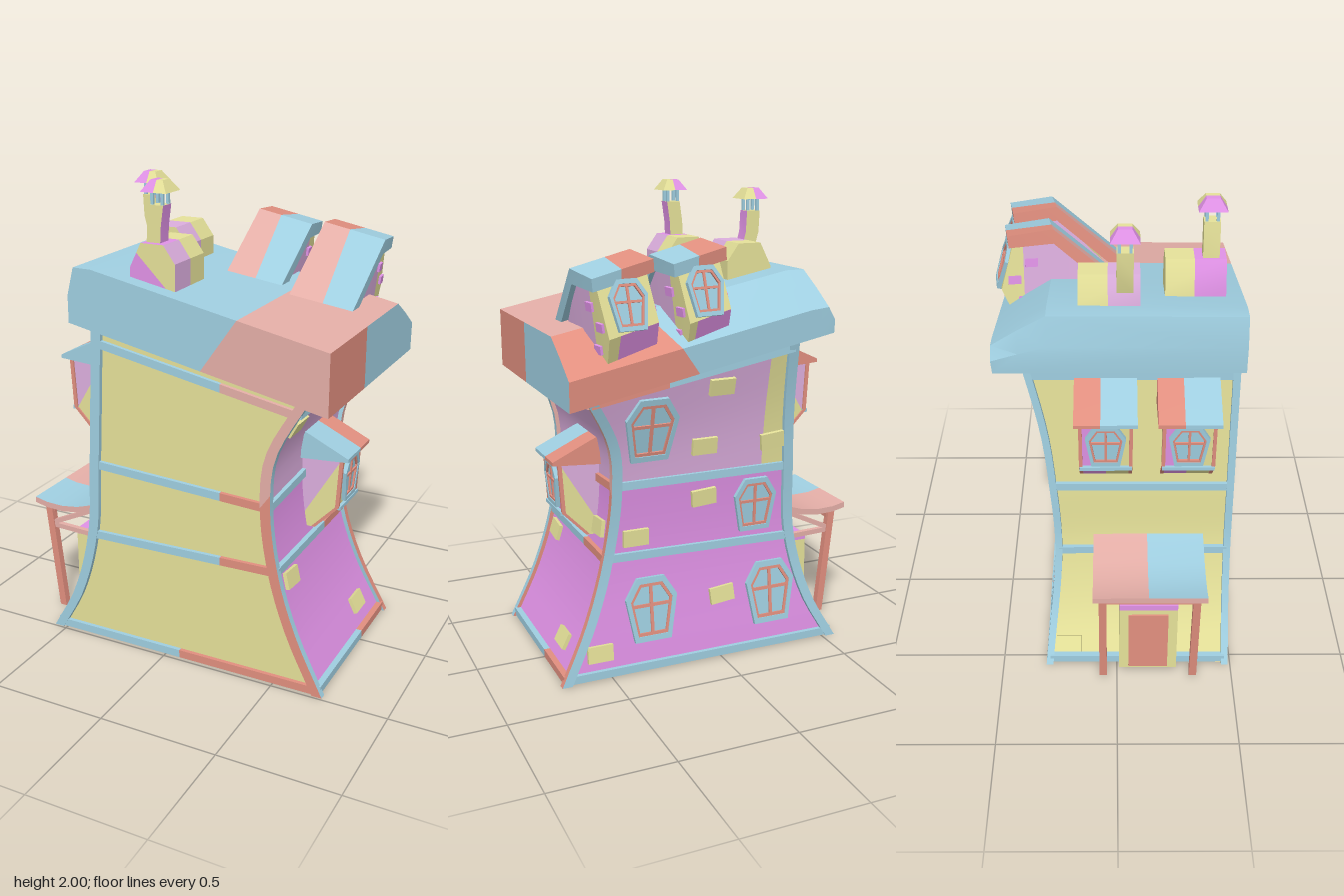
import * as THREE from 'three';
import { toCreasedNormals } from 'three/addons/utils/BufferGeometryUtils.js';

const V = (x, y, z) => new THREE.Vector3(x, y, z);
const X = V(1, 0, 0), Y = V(0, 1, 0), Z = V(0, 0, 1);
const mat = (name, color) => Object.assign(new THREE.MeshStandardMaterial({ color }), { name });
const blue = mat('blue', 0x9fcee0), olive = mat('olive', 0xe5e199), magenta = mat('magenta', 0xe092e6);
const lilac = mat('lilac', 0xdcaede), salmon = mat('salmon', 0xe18f7f), pink = mat('pink', 0xe4aea7);

// Cut a triangle (vertices: position + normal) along the plane n.p = k
function split(t, [a, b, c, k]) {
  const d = t.map(p => a * p[0] + b * p[1] + c * p[2] - k);
  if (d.every(e => e >= -1e-6) || d.every(e => e <= 1e-6)) return [t];
  return [1, -1].flatMap(s => {
    const poly = [];
    t.forEach((p, i) => {
      const j = (i + 1) % 3;
      if (d[i] * s >= 0) poly.push(p);
      if (d[i] * d[j] < 0) poly.push(p.map((e, m) => e + (t[j][m] - e) * d[i] / (d[i] - d[j])));
    });
    return poly.slice(2).map((p, i) => [poly[0], poly[i + 1], p]);
  });
}

// Add a mesh; pick is a material or a rule (normal, centre) => material, after cutting along planes
function part(parent, name, geo, pick, cuts = []) {
  let g = toCreasedNormals(geo, 0.5), mats = pick;
  if (!pick.isMaterial) {
    const P = g.attributes.position.array, N = g.attributes.normal.array, byMat = new Map();
    let tris = [];
    for (let i = 0; i < P.length; i += 9)
      tris.push([0, 3, 6].map(o => [...P.slice(i + o, i + o + 3), ...N.slice(i + o, i + o + 3)]));
    for (const cut of cuts) tris = tris.flatMap(t => split(t, cut));
    for (const t of tris) {
      const m = [0, 1, 2, 3, 4, 5].map(k => (t[0][k] + t[1][k] + t[2][k]) / 3);
      const key = pick(V(m[3], m[4], m[5]), V(m[0], m[1], m[2]));
      if (!byMat.has(key)) byMat.set(key, []);
      byMat.get(key).push(...t);
    }
    g = new THREE.BufferGeometry();
    mats = [...byMat.keys()];
    const all = [...byMat.values()].flat();
    let start = 0;
    mats.forEach((m, i) => { g.addGroup(start, byMat.get(m).length, i); start += byMat.get(m).length; });
    g.setAttribute('position', new THREE.Float32BufferAttribute(all.flatMap(p => p.slice(0, 3)), 3));
    g.setAttribute('normal', new THREE.Float32BufferAttribute(all.flatMap(p => p.slice(3)), 3));
  }
  const mesh = new THREE.Mesh(g, mats);
  mesh.name = name;
  parent.add(mesh);
  return mesh;
}

function warp(geo, fn) {
  const p = geo.attributes.position;
  for (let i = 0; i < p.count; i++) { const q = fn(V(p.getX(i), p.getY(i), p.getZ(i))); p.setXYZ(i, q.x, q.y, q.z); }
  return geo;
}
const sheet = (fn, nu, nv) => warp(new THREE.PlaneGeometry(1, 1, nu, nv), p => fn(p.x + 0.5, p.y + 0.5));
// Rectangular beam along points, section spanned by axes A and B
function bar(pts, A, B, w, h) {
  const n = pts.length - 1, dir = pts[n].clone().sub(pts[0]);
  const a = A.clone().multiplyScalar(A.clone().cross(B).dot(dir) < 0 ? -w : w);
  return warp(new THREE.BoxGeometry(1, 1, 1, 1, 1, n), p =>
    pts[Math.round((p.z + 0.5) * n)].clone().addScaledVector(a, p.x).addScaledVector(B, p.y * h));
}
const shapeOf = pts => new THREE.Shape(pts.map(p => new THREE.Vector2(...p)));
const extrudeZ = (pts, z0, z1) =>
  new THREE.ExtrudeGeometry(shapeOf(pts), { depth: z1 - z0, bevelEnabled: false }).translate(0, 0, z0);
const extrudeX = (zy, x0, x1, steps = 1) =>
  new THREE.ExtrudeGeometry(shapeOf(zy.map(([z, y]) => [-z, y])), { depth: x1 - x0, steps, bevelEnabled: false })
    .rotateY(Math.PI / 2).translate(x0, 0, 0);
const box = (x0, x1, y0, y1, z0, z1) => new THREE.BoxGeometry(x1 - x0, y1 - y0, z1 - z0)
  .translate((x0 + x1) / 2, (y0 + y1) / 2, (z0 + z1) / 2);

// Crooked body: corner curves by height, floors v = 0..3
const curve = (t, v) => { const c = new THREE.CubicInterpolant(t, v, 1); return y => c.evaluate(y)[0]; };
const xLeft = curve([0, 0.2, 0.5, 0.8, 1.45], [-0.56, -0.45, -0.365, -0.345, -0.31]);
const xRight = curve([0, 0.25, 0.5, 0.8, 1, 1.26], [0.72, 0.6, 0.52, 0.48, 0.5, 0.64]);
const zBack = curve([0, 0.5, 0.8, 1, 1.26], [-0.31, -0.265, -0.28, -0.31, -0.39]);
const step = a => v => { const i = Math.min(2, Math.floor(v)); return a[i] + (a[i + 1] - a[i]) * (v - i); };
const hLeft = step([0, 0.495, 0.82, 1.45]), hRight = step([0, 0.51, 0.78, 1.26]), hRightBack = step([0, 0.51, 0.82, 1.26]);
const corners = [[0, 1], [1, 1], [1, 0], [0, 0]];
function corner(i, v, dx, dz = dx) {
  const [r, f] = corners[i % 4], y = r ? (f ? hRight : hRightBack)(v) : hLeft(v);
  return V(r ? xRight(y) - dx : xLeft(y) + dx, y, f ? 0.49 - dz : zBack(hRightBack(v)) + dz);
}
// Point on a side (0 front, 1 +x, 2 back, 3 -x), inset by d
const on = (s, u, v, d) => corner(s, v, d).lerp(corner(s + 1, v, d), u);
const normalAt = (s, u, v) => on(s, u + 0.05, v, 0).sub(on(s, u - 0.05, v, 0))
  .cross(on(s, u, v + 0.05, 0).sub(on(s, u, v - 0.05, 0))).normalize();

function place(obj, pos, n) { obj.position.copy(pos); obj.lookAt(pos.clone().add(n)); return obj; }

// Arched casement window facing +z
const windowPts = [[-0.06, -0.1], [0.06, -0.1], [0.085, 0.04], [0.045, 0.105], [-0.045, 0.105], [-0.085, 0.04]];
function makeWindow(parent, scale, pos, n) {
  const w = new THREE.Group();
  w.name = 'window';
  const scaled = k => windowPts.map(([x, y]) => [x * k, y * k]);
  const ring = (name, o, i, depth, m) => {
    const s = shapeOf(scaled(o));
    s.holes.push(shapeOf(scaled(i)));
    part(w, name, new THREE.ExtrudeGeometry(s, { depth, bevelEnabled: false }), m);
  };
  ring('windowFrame', 1, 0.82, 0.018, blue);
  ring('windowSash', 0.82, 0.72, 0.014, salmon);
  part(w, 'glass', new THREE.ShapeGeometry(shapeOf(scaled(0.85))).translate(0, 0, 0.006), blue);
  part(w, 'muntin', box(-0.005, 0.005, -0.08, 0.08, 0, 0.013), salmon);
  part(w, 'muntin', box(-0.062, 0.062, 0.01, 0.02, 0, 0.013), salmon);
  w.scale.set(scale, scale, 1);
  parent.add(place(w, pos, n));
}

// Bay projecting along x in direction s
function makeBay(root, s, x, y, z, limit) {
  const g = new THREE.Group();
  g.name = 'bay';
  const side = pts => pts.map(([o, h]) => [x + s * o, y + h]);
  part(g, 'bayWalls', extrudeZ(side([[-0.06, 0], [0.02, 0], [0.122, 0.11], [0.135, 0.33], [-0.06, 0.33]]), z - 0.1, z + 0.1),
    (n, c) => Math.abs(n.z) > 0.5 ? (c.x - x - 0.6 * (c.y - y) < limit ? lilac : olive) : c.z > z ? olive : magenta,
    [[1, -0.6, 0, x - 0.6 * y + limit], [0, 0, 1, z]]);
  part(g, 'bayRoof', extrudeZ(side([[-0.05, 0.44], [0, 0.42], [0.17, 0.34], [0.17, 0.325], [-0.05, 0.31]]), z - 0.125, z + 0.125),
    (n, c) => c.z > z - 0.02 ? blue : salmon, [[0, 0, 1, z - 0.02]]);
  // Corner trim down the wall and under the slope
  for (const e of [-0.1, 0.1])
    part(g, 'bayTrim', bar(side([[0.02, 0.004], [0.122, 0.11], [0.135, 0.33]]).map(p => V(...p, z + e)), X, Z, 0.016, 0.014), salmon);
  part(g, 'baySill', box(x + s * 0.125 - 0.012, x + s * 0.125 + 0.012, y + 0.1, y + 0.115, z - 0.105, z + 0.105), blue);
  makeWindow(g, 0.95, V(x + s * 0.128, y + 0.22, z), V(s, -0.06, 0));
  root.add(g);
}

// Dormer facing the back, leaning with the roof and turned slightly
function makeDormer(root, cx, dy, half) {
  const g = new THREE.Group(), wall = half - 0.024;
  const lean = p => V(p.x + 0.12 * (p.y - 1.72) + 0.12 * Math.min(0, p.z + 0.25),
    p.y + dy - 0.23 * (p.x - cx), p.z - 0.13 * (p.x - cx));
  g.name = 'dormer';
  part(g, 'dormerRoof', warp(extrudeX([[0.03, 1.49], [-0.27, 1.74], [-0.455, 1.72], [-0.45, 1.67], [-0.27, 1.68], [0, 1.45]],
    cx - half, cx + half), lean),
    (n, c) => c.x < cx - 0.02 ? (n.y > 0.3 && c.z > -0.27 ? pink : salmon) : blue, [[1, 0, 0, cx - 0.02]]);
  part(g, 'dormerWalls', warp(extrudeX([[-0.03, 1.45], [-0.27, 1.7], [-0.43, 1.69], [-0.485, 1.49], [-0.43, 1.36], [-0.28, 1.33]],
    cx - wall, cx + wall), lean),
    (n, c) => Math.abs(n.x) > 0.5 ? (c.z > -0.38 ? lilac : olive) : n.y < -0.2 && c.x < cx ? magenta : olive,
    [[0, 0, 1, -0.38], [1, 0, 0, cx]]);
  for (const s of [-1, 1]) for (const [z, y] of [[-0.36, 1.6], [-0.43, 1.53], [-0.39, 1.44]]) {
    const bx = cx + s * wall;
    part(g, 'dormerBrick', warp(box(bx - 0.01, bx + 0.01, y - 0.017, y + 0.017, z - 0.026, z + 0.026), lean), magenta);
  }
  makeWindow(g, 0.95, lean(V(cx, 1.582, -0.461)), V(-0.13, 0.3, -1));
  root.add(g);
}

// Chimney: chamfered base block, bent pipe, small posts and cap
function makeChimney(root, x, z0, path, pz, topColor) {
  const g = new THREE.Group(), zc = z0 + 0.115, top = path[path.length - 1];
  g.name = 'chimney';
  part(g, 'chimneyBase', extrudeZ([[-0.1, 1.5], [-0.1, 1.66], [-0.05, 1.76], [0.05, 1.76], [0.1, 1.69], [0.1, 1.5]]
    .map(([a, b]) => [a + x, b]), z0, z0 + 0.24),
    (n, c) => n.z > 0.5 ? (c.x - x + c.y < 1.65 ? magenta : olive)
      : n.z < -0.5 || c.z < zc ? olive : n.x > 0.5 ? lilac : topColor, [[0, 0, 1, zc], [1, 1, 0, x + 1.65]]);
  part(g, 'chimneyPipe', bar(path.map(([a, b]) => V(a, b, pz)), X, Z, 0.06, 0.065), n => n.x > 0.5 ? magenta : olive);
  for (const a of [-0.022, 0.022]) for (const b of [-0.022, 0.022])
    part(g, 'capPost', box(top[0] + a - 0.006, top[0] + a + 0.006, top[1], top[1] + 0.06, pz + b - 0.006, pz + b + 0.006), blue);
  part(g, 'chimneyCap', new THREE.CylinderGeometry(0.038, 0.08, 0.045, 4).rotateY(Math.PI / 4).translate(top[0], top[1] + 0.0725, pz),
    (n, c) => c.x < top[0] ? magenta : olive, [[1, 0, 0, top[0]]]);
  root.add(g);
}

export function createModel() {
  const root = new THREE.Group();
  root.name = 'crookedHouse';
  const line = (n, fn) => Array.from({ length: n + 1 }, (_, i) => fn(i / n));
  // Wall panels, bands and corner posts
  for (let s = 0; s < 4; s++) {
    for (let f = 0; f < 3; f++) {
      const m = s % 3 === 0 ? olive : f < 2 ? magenta : lilac;
      part(root, 'wallPanel', sheet((u, v) => on(s, u, f + v, 0.018), 6, 8),
        s === 2 && f === 2 ? (n, c) => c.x < -0.2 ? olive : lilac : m, [[1, 0, 0, -0.2]]);
    }
    for (const v of [0.045, 1, 2, 2.84]) {
      const cutX = v < 0.1 ? 0.07 : 0.26, warm = v > 2.5 ? pink : salmon;
      part(root, 'band', bar(line(8, t => on(s, t, v, 0.015)), Y, s % 2 ? X : Z, 0.034, 0.028), (n, c) =>
        s === 0 ? (c.x < cutX ? blue : warm) : s === 1 ? (c.z > -0.01 ? blue : warm)
          : s === 2 && v > 2.5 && c.x > cutX ? salmon : blue, [[1, 0, 0, cutX], [0, 0, 1, -0.01]]);
    }
    part(root, 'cornerPost', bar(line(24, t => corner(s, t * 3, 0.022, 0.014)), X, Z, 0.044, 0.03), (n, c) => {
      const warm = c.y > 0.8 ? pink : salmon;
      return s === 1 ? (n.x > 0.5 ? blue : warm) : s === 2 && n.x > 0.5 ? warm : blue;
    });
  }
  part(root, 'floor', sheet((u, v) => V(-0.55 + 1.26 * u, 0.01, -0.3 + 0.78 * v), 1, 1),
    (n, c) => c.z < 0.09 ? olive : magenta, [[0, 0, 1, 0.09]]);

  // Windows and scattered bricks
  for (const [u, v, k] of [[0.27, 0.52, 1.35], [0.83, 0.5, 1.35], [0.8, 1.5, 1.15], [0.22, 2.48, 1.35]])
    makeWindow(root, k, on(2, u, v, 0.016), normalAt(2, u, v));
  for (const [s, u, v, roll] of [[1, 0.15, 2.65, 0], [1, 0.83, 1.33, 0.08], [1, 0.15, 0.86, -0.08], [1, 0.76, 0.24, 0], [2, 0.5, 2.25, 0],
    [2, 0.9, 2.2, 0.1], [2, 0.62, 2.7, 0], [2, 0.14, 1.25, 0], [2, 0.5, 1.7, 0.08], [2, 0.09, 0.22, 0], [2, 0.6, 0.55, 0.1], [3, 0.1, 0.15, 0]])
    place(part(root, 'brick', new THREE.BoxGeometry(0.11, 0.07, 0.03), olive), on(s, u, v, 0.016), normalAt(s, u, v)).rotateZ(roll);

  // Tilted roof: left end narrows through two chamfer stations
  const stations = [[-0.41, 0.45], [-0.38, 0.94], [-0.3, 1], [0.1, 1], [0.71, 1]];
  const roof = extrudeX([[0.5, 0], [0.5, 0.25], [-0.27, 0.255], [-0.38, 0.19], [-0.485, 0.12], [-0.48, 0]], 0, 4, 4);
  part(root, 'roof', warp(roof, p => {
    const [x, k] = stations[Math.round(p.x)];
    return V(x, 1.42 - 0.2 * (x + 0.4) + p.y * k, p.z);
  }), (n, c) => n.x > 0.6 ? (c.z > 0.11 ? salmon : blue)
    : c.x - 0.7 * c.y < -0.731 ? blue : n.z < -0.4 || n.y < -0.5 ? salmon : pink, [[1, -0.7, 0, -0.731], [0, 0, 1, 0.11]]);
  makeDormer(root, 0.195, 0.035, 0.115);
  makeDormer(root, 0.507, 0, 0.128);
  makeChimney(root, -0.19, -0.15, [[-0.25, 1.7], [-0.275, 1.79], [-0.28, 1.88]], 0.03, lilac);
  makeChimney(root, -0.06, 0.19, [[-0.07, 1.72], [-0.065, 1.82], [-0.053, 1.905]], 0.37, magenta);

  makeBay(root, 1, 0.5, 0.56, 0.025, -0.06);
  makeBay(root, -1, -0.345, 0.91, -0.045, -0.18);
  makeBay(root, -1, -0.345, 0.91, 0.285, -0.18);

  // Entrance box, door and sagging canopy
  part(root, 'entrance', box(-0.58, -0.4, 0.005, 0.37, 0.01, 0.26),
    (n, c) => n.y > 0.5 || c.y > 0.345 ? magenta : olive, [[0, 1, 0, 0.345]]);
  part(root, 'door', box(-0.588, -0.578, 0.02, 0.32, 0.05, 0.22), salmon);
  part(root, 'canopy', bar([[-0.72, 0.53], [-0.66, 0.517], [-0.58, 0.514], [-0.5, 0.525], [-0.36, 0.57]].map(([x, y]) => V(x, y, 0.135)), Z, Y, 0.47, 0.026),
    (n, c) => n.y > 0.5 && c.z > 0.13 ? blue : pink, [[0, 0, 1, 0.13]]);
  for (const z of [-0.06, 0.33]) {
    part(root, 'canopyPost', bar([V(-0.67, 0.51, z), V(-0.615, 0.01, z)], X, Z, 0.032, 0.032), salmon);
    part(root, 'canopyRail', bar([V(-0.66, 0.41, z), V(-0.37, 0.4, z)], Y, Z, 0.022, 0.022), pink);
    part(root, 'canopyBrace', bar([V(-0.65, 0.42, z), V(-0.42, 0.53, z)], Y, Z, 0.022, 0.022), pink);
  }
  part(root, 'canopyBeam', bar([V(-0.66, 0.48, -0.06), V(-0.66, 0.48, 0.33)], X, Y, 0.022, 0.03), salmon);
  return root;
}
